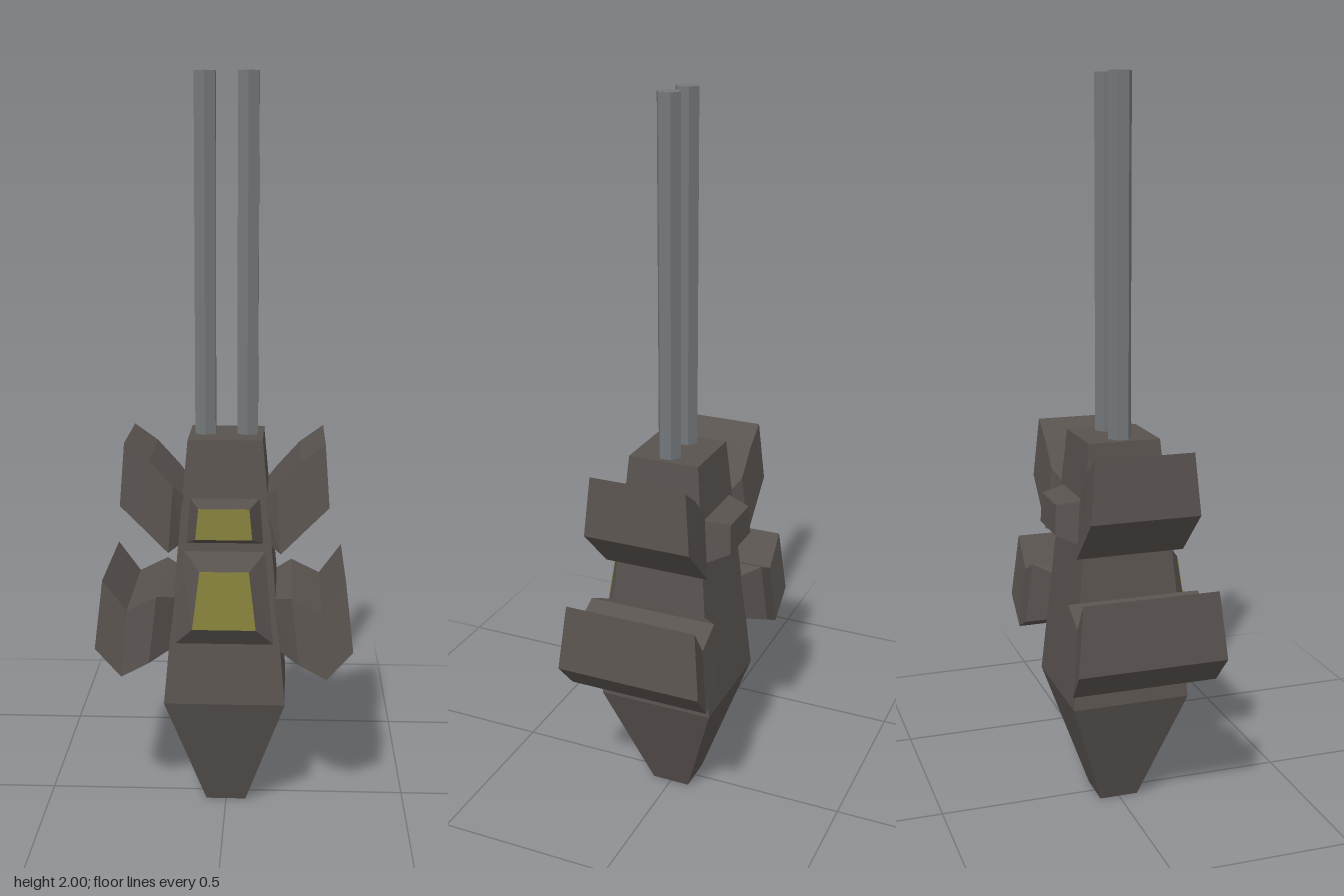
import * as THREE from 'three';

const hull = new THREE.MeshStandardMaterial({ color: 0x59534f, flatShading: true });
const metal = new THREE.MeshStandardMaterial({ color: 0x74787a, flatShading: true });
const glass = new THREE.MeshStandardMaterial({ color: 0x85803c, flatShading: true });

// Solid through four-cornered sections, corners counter-clockwise seen from the far end
function loft(name, sections, material) {
  const pos = [];
  const quad = (a, b, c, d) => pos.push(...a, ...b, ...c, ...a, ...c, ...d);
  for (let s = 0; s < sections.length - 1; s++) {
    const p = sections[s], q = sections[s + 1];
    for (let i = 0; i < 4; i++) {
      const j = (i + 1) % 4;
      quad(p[i], p[j], q[j], q[i]);
    }
  }
  quad(...[...sections[0]].reverse());
  quad(...sections[sections.length - 1]);
  const geometry = new THREE.BufferGeometry();
  geometry.setAttribute('position', new THREE.Float32BufferAttribute(pos, 3));
  geometry.computeVertexNormals();
  const mesh = new THREE.Mesh(geometry, material);
  mesh.name = name;
  return mesh;
}

// Square section of half width h at height y
const square = ([y, h]) => [[-h, y, h], [h, y, h], [h, y, -h], [-h, y, -h]];

// Fin section: top edge (x, y, half depth) and bottom edge (x, y, half depth)
const finSection = ([tx, ty, tz, bx, by, bz]) =>
  [[bx, by, bz], [bx, by, -bz], [tx, ty, -tz], [tx, ty, tz]];

// Upright panel section: bottom edge (half width, y, z) and top edge (half width, y, z)
const panelSection = ([bw, by, bz, tw, ty, tz]) =>
  [[-bw, by, bz], [bw, by, bz], [tw, ty, tz], [-tw, ty, tz]];

// Thin pane lying on the outer face of a panel
function pane(name, [bw, by, bz, tw, ty, tz]) {
  const at = (d) => panelSection([bw, by, bz + d, tw, ty, tz + d]);
  return loft(name, [at(-0.005), at(0.002)], glass);
}

export function createModel() {
  const model = new THREE.Group();

  // Tapered square body
  model.add(loft('body', [[0, 0.055], [0.33, 0.164], [1.05, 0.1]].map(square), hull));

  // Two pairs of fins, each bent outward and upward from the body
  const fins = {
    lowerFin: [
      [0.12, 0.62, 0.125, 0.135, 0.485, 0.135],
      [0.18, 0.64, 0.183, 0.2, 0.46, 0.2],
      [0.26, 0.6, 0.183, 0.275, 0.42, 0.2],
      [0.323, 0.685, 0.186, 0.344, 0.5, 0.205],
    ],
    upperFin: [
      [0.1, 0.89, 0.105, 0.115, 0.77, 0.11],
      [0.137, 0.93, 0.135, 0.15, 0.752, 0.15],
      [0.2, 1.0, 0.135, 0.22, 0.823, 0.15],
      [0.265, 1.047, 0.135, 0.277, 0.88, 0.15],
    ],
  };
  for (const [name, sections] of Object.entries(fins)) {
    for (const side of ['Left', 'Right']) {
      const fin = loft(name + side, sections.map(finSection), hull);
      if (side === 'Right') fin.rotation.y = Math.PI;
      model.add(fin);
    }
  }

  // Large front window housing
  const lowerFace = [0.085, 0.55, 0.184, 0.066, 0.705, 0.165];
  model.add(loft('lowerWindowHousing',
    [[0.145, 0.485, 0.14, 0.121, 0.765, 0.115], lowerFace].map(panelSection), hull));
  model.add(pane('lowerWindow', lowerFace));

  // Small upper housings, front and back; only the front one is glazed
  const upperFace = [0.075, 0.8, 0.186, 0.067, 0.882, 0.182];
  for (const side of ['Front', 'Back']) {
    const housing = loft('upperHousing' + side,
      [[0.107, 0.77, 0.115, 0.095, 0.895, 0.108], upperFace].map(panelSection), hull);
    if (side === 'Back') housing.rotation.y = Math.PI;
    model.add(housing);
  }
  model.add(pane('upperWindow', upperFace));

  // Twin six-sided barrels
  for (const side of [1, -1]) {
    const barrel = new THREE.Mesh(new THREE.CylinderGeometry(0.032, 0.032, 1, 6), metal);
    barrel.name = side > 0 ? 'barrelLeft' : 'barrelRight';
    barrel.position.set(side * 0.057, 1.5, 0);
    model.add(barrel);
  }
  return model;
}
